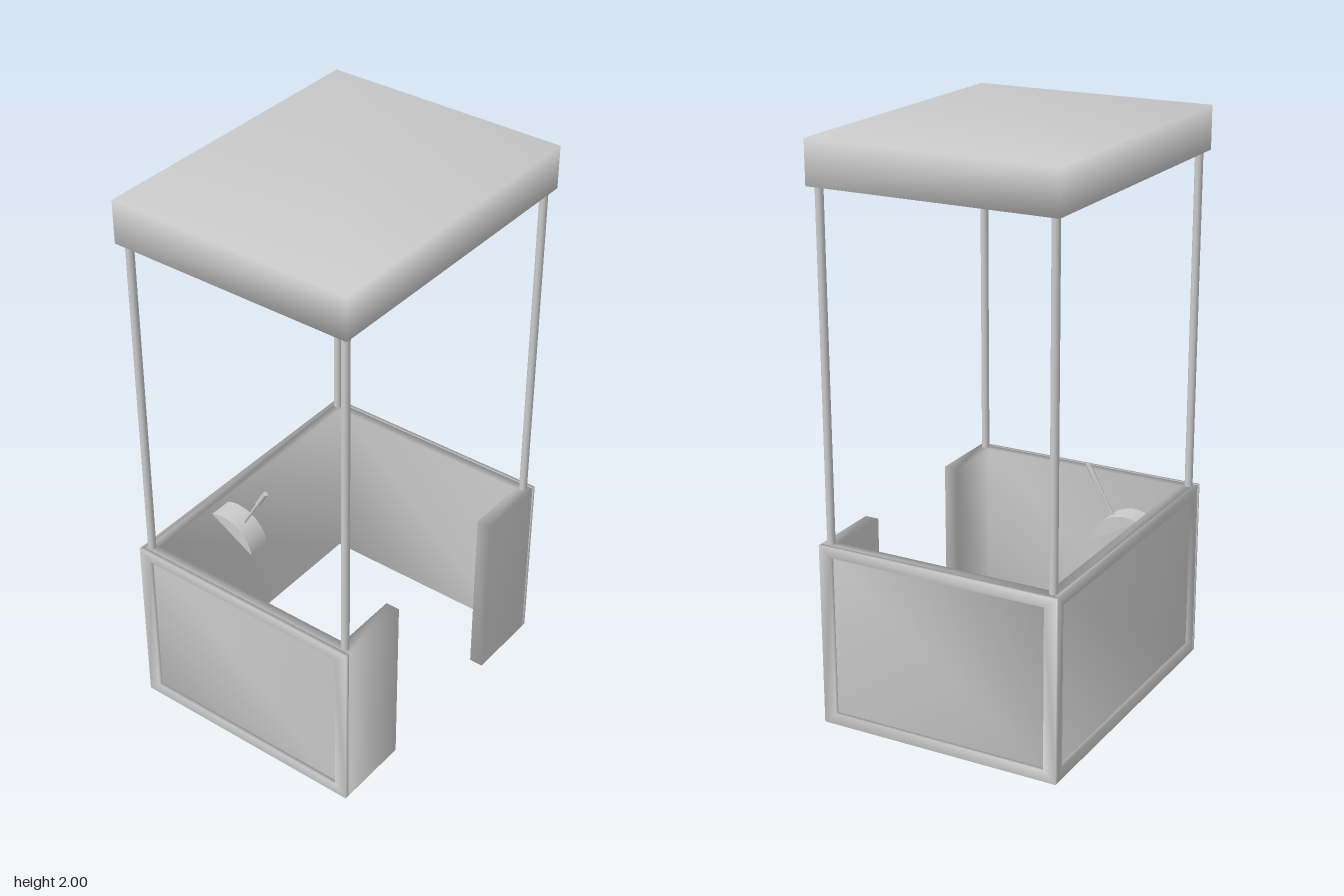
import * as THREE from 'three';
import { mergeVertices } from 'three/addons/utils/BufferGeometryUtils.js';

const W = 0.44, D = 0.55, H = 0.65; // half width, half depth, wall height
const RECESS = 0.015, BORDER = 0.045;
const material = new THREE.MeshStandardMaterial({ color: 0xcccccc });

function addMesh(group, name, geometry) {
  const mesh = new THREE.Mesh(geometry, material);
  mesh.name = name;
  group.add(mesh);
  return mesh;
}

// Share vertices so shading flows softly over the edges
function soften(geometry) {
  geometry.deleteAttribute('normal');
  geometry.deleteAttribute('uv');
  const welded = mergeVertices(geometry, 1e-4);
  welded.computeVertexNormals();
  return welded;
}

const polygon = (points) => new THREE.Shape(points.map(([x, y]) => new THREE.Vector2(x, y)));
const rect = (x0, y0, x1, y1) => polygon([[x0, y0], [x1, y0], [x1, y1], [x0, y1]]);
const extrude = (shape, depth) =>
  new THREE.ExtrudeGeometry(shape, { depth, bevelEnabled: false, curveSegments: 16 });

// Raised border around a wall panel, lying in the xy plane
function frameGeometry(halfWidth, side) {
  const shape = rect(-halfWidth, 0, halfWidth, H);
  shape.holes.push(rect(-halfWidth + side, 0.04, halfWidth - side, H - 0.037));
  return soften(extrude(shape, RECESS));
}

// Closed skin over a chain of rectangles [halfX, halfZ, y]
function rectangleRings(rings) {
  const corners = [[1, 1], [1, -1], [-1, -1], [-1, 1]];
  const position = [], index = [];
  rings.forEach(([hx, hz, y]) => corners.forEach(([sx, sz]) => position.push(sx * hx, y, sz * hz)));
  for (let r = 0; r < rings.length - 1; r++) {
    for (let k = 0; k < 4; k++) {
      const a = r * 4 + k, b = r * 4 + (k + 1) % 4;
      index.push(a + 4, b + 4, b, a + 4, b, a);
    }
  }
  const e = (rings.length - 1) * 4;
  index.push(0, 1, 2, 0, 2, 3, e, e + 2, e + 1, e, e + 3, e + 2);
  const geometry = new THREE.BufferGeometry();
  geometry.setAttribute('position', new THREE.Float32BufferAttribute(position, 3));
  geometry.setIndex(index);
  geometry.computeVertexNormals();
  return geometry;
}

// Cylinder between two points
function addRod(group, name, from, to, radius, sides) {
  const a = new THREE.Vector3(...from), b = new THREE.Vector3(...to);
  const dir = b.clone().sub(a);
  const rod = addMesh(group, name, new THREE.CylinderGeometry(radius, radius, dir.length(), sides));
  rod.position.copy(a).add(b).multiplyScalar(0.5);
  rod.quaternion.setFromUnitVectors(new THREE.Vector3(0, 1, 0), dir.normalize());
}

export function createModel() {
  const model = new THREE.Group();
  model.name = 'booth';

  // Floorless wall, open in the middle of the +x side
  const ox = W - RECESS, oz = D - RECESS, ix = 0.39, iz = 0.5, gap = 0.265;
  const plan = polygon([
    [W, gap], [W, oz], [-ox, oz], [-ox, -oz], [W, -oz], [W, -gap],
    [ix, -gap], [ix, -iz], [-ix, -iz], [-ix, iz], [ix, iz], [ix, gap],
  ]);
  addMesh(model, 'wall', soften(extrude(plan, H).rotateX(-Math.PI / 2)));

  // Borders on the three closed sides
  addMesh(model, 'frontFrame', frameGeometry(W, BORDER)).position.z = oz;
  addMesh(model, 'backFrame', frameGeometry(W, BORDER)).position.z = -D;
  const sideFrame = addMesh(model, 'sideFrame', frameGeometry(oz, BORDER - RECESS));
  sideFrame.rotation.y = -Math.PI / 2;
  sideFrame.position.x = -ox;

  // Corner posts
  for (const x of [-0.412, 0.412]) {
    for (const z of [-0.517, 0.517]) addRod(model, 'post', [x, H, z], [x, 1.87, z], 0.014, 16);
  }

  // Roof slab, hollow underneath
  addMesh(model, 'roof', rectangleRings([
    [W, D, 2], [W, D, 1.85], [W - BORDER, D - BORDER, 1.85], [W - BORDER, D - BORDER, 1.95],
  ]));

  // Lever on a tilted, rounded housing against the closed side wall
  const control = new THREE.Group();
  control.name = 'control';
  control.position.set(-0.293, 0.583, 0.2);
  control.rotation.z = -Math.PI / 6;
  model.add(control);
  const dome = new THREE.Shape();
  const half = Math.asin(0.1 / 0.125);
  dome.absarc(0, -0.075, 0.125, Math.PI / 2 - half, Math.PI / 2 + half, false);
  dome.closePath();
  addMesh(control, 'leverHousing', extrude(dome, 0.086).translate(0, 0, -0.043));
  addRod(control, 'leverShaft', [0, 0.03, 0], [0, 0.19, 0], 0.005, 12);
  addRod(control, 'leverGrip', [0, 0.175, 0], [0, 0.245, 0], 0.009, 12);

  return model;
}
